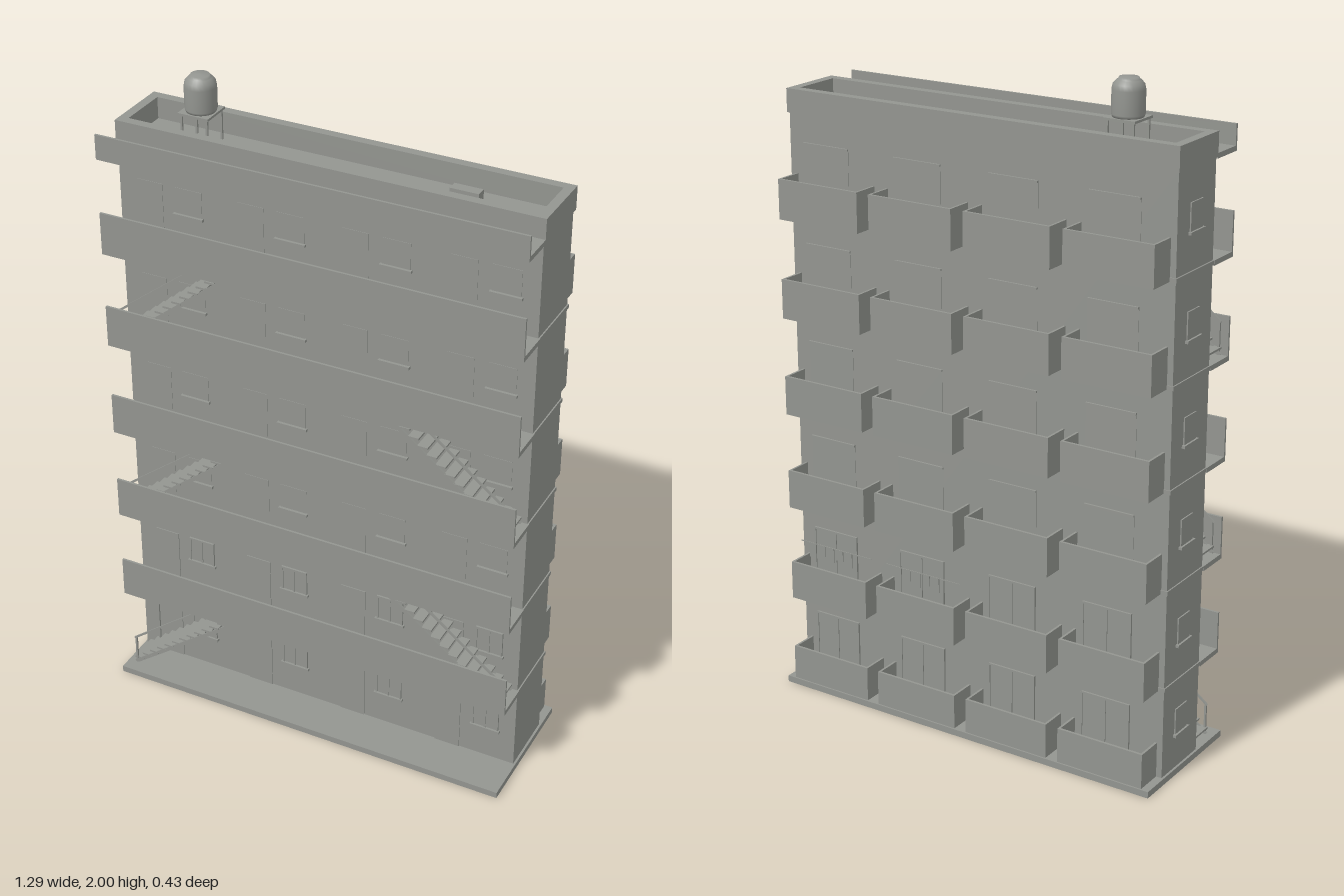
import * as THREE from 'three';

export function createModel() {
  const model = new THREE.Group();
  model.name = 'apartmentBlock';
  const concrete = new THREE.MeshStandardMaterial({ color: 0x939590 });
  concrete.name = 'concrete grey';

  const group = (name, parent = model) => {
    const g = new THREE.Group();
    g.name = name;
    parent.add(g);
    return g;
  };
  const add = (name, geometry, parent) => {
    const m = new THREE.Mesh(geometry, concrete);
    m.name = name;
    parent.add(m);
    return m;
  };
  // Box given by its two extreme corners
  const box = (name, x0, x1, y0, y1, z0, z1, parent = model) => {
    const m = add(name, new THREE.BoxGeometry(x1 - x0, y1 - y0, z1 - z0), parent);
    m.position.set((x0 + x1) / 2, (y0 + y1) / 2, (z0 + z1) / 2);
    return m;
  };
  // Slanted bar between two points in an xy plane
  const bar = (name, x0, y0, x1, y1, z, height, depth, parent) => {
    const m = add(name, new THREE.BoxGeometry(Math.hypot(x1 - x0, y1 - y0), height, depth), parent);
    m.position.set((x0 + x1) / 2, (y0 + y1) / 2, z);
    m.rotation.z = Math.atan2(y1 - y0, x1 - x0);
  };
  // Flat rectangular ring lying in the xz plane
  const ring = (name, X, z0, z1, wall, y0, y1) => {
    const s = new THREE.Shape();
    s.moveTo(-X, -z0).lineTo(-X, -z1).lineTo(X, -z1).lineTo(X, -z0).closePath();
    const h = new THREE.Path();
    h.moveTo(-X + wall, -z0 - wall).lineTo(X - wall, -z0 - wall)
      .lineTo(X - wall, -z1 + wall).lineTo(-X + wall, -z1 + wall).closePath();
    s.holes.push(h);
    const m = add(name, new THREE.ExtrudeGeometry(s, { depth: y1 - y0, bevelEnabled: false }), model);
    m.rotation.x = -Math.PI / 2;
    m.position.y = y0;
  };

  const FRONT = 0.075, BACK = -0.127, W = 0.638;
  const floorY = i => (i === 0 ? 0.02 : 0.005 + 0.3 * i);

  // Plinth with a recessed underside, main body and roof parapet
  ring('plinthRim', 0.645, -0.217, 0.215, 0.02, 0, 0.02);
  box('plinthSlab', -0.63, 0.63, 0.01, 0.02, -0.2, 0.2);
  for (const z of [FRONT, BACK]) box('foundationBeam', -0.63, 0.63, 0.003, 0.011, z - 0.006, z + 0.006);
  box('body', -W, W, 0.02, 1.795, BACK, FRONT);
  ring('roofParapet', 0.643, -0.133, 0.077, 0.028, 1.79, 1.86);

  for (let i = 0; i < 6; i++) {
    const y = floorY(i);
    const storey = group('storey' + (i + 1));
    if (i > 0) box('floorBand', -0.642, 0.642, y - 0.012, y, BACK - 0.003, FRONT + 0.003, storey);

    // Access gallery along the front
    if (i > 0) {
      box('gallerySlab', -0.643, 0.643, y - 0.015, y, FRONT, 0.182, storey);
      box('galleryParapet', -0.643, 0.643, y - 0.015, y + 0.115, 0.175, 0.182, storey);
    }

    // Four flats: front door and window, back door and balcony
    for (let k = 0; k < 4; k++) {
      const cx = -0.48 + 0.32 * k;
      const flat = group('flat' + (k + 1), storey);
      const thin = i < 2 ? 0.003 : 0.0015;
      box('frontDoor', cx - 0.1, cx - 0.02, y, y + 0.19, FRONT, FRONT + thin, flat);
      box('windowPane', cx + 0.02, cx + 0.105, y + 0.11, y + 0.19, FRONT, FRONT + thin, flat);
      box('windowSill', cx + 0.015, cx + 0.11, y + 0.103, y + 0.111, FRONT, FRONT + 0.01, flat);
      if (i < 2) {
        for (const x of [0.02, 0.06, 0.1])
          box('windowFrame', cx + x, cx + x + 0.005, y + 0.11, y + 0.19, FRONT, FRONT + 0.006, flat);
        box('windowHead', cx + 0.02, cx + 0.105, y + 0.187, y + 0.193, FRONT, FRONT + 0.006, flat);
      }

      const bx = cx + 0.03;
      box('balconyDoor', bx - 0.08, bx + 0.08, y, y + 0.2, BACK - thin, BACK, flat);
      if (i < 2) for (const x of [-0.08, -0.002, 0.076])
        box('balconyDoorFrame', bx + x, bx + x + 0.005, y, y + 0.2, BACK - 0.006, BACK, flat);
      box('balconyLintel', bx - 0.08, bx + 0.08, y + 0.197, y + 0.203, BACK - 0.006, BACK, flat);

      const l = cx - 0.14, r = cx + 0.14, y0 = i === 0 ? y : y - 0.012, top = y + 0.108;
      box('balconySlab', l, r, y0, y + 0.003, -0.21, BACK, flat);
      box('balconyFront', l, r, y0, top, -0.212, -0.204, flat);
      box('balconySide', l, l + 0.007, y0, top, -0.206, BACK, flat);
      box('balconySide', r - 0.007, r, y0, top, -0.206, BACK, flat);

      // Washing lines on two balconies, storage boxes on the top ones
      if (i === 1 && k >= 2) {
        box('washingLine', l + 0.007, r - 0.007, y + 0.165, y + 0.168, -0.171, -0.169, flat);
        for (let n = 0; n < 5; n++)
          box('laundry', cx - 0.06 + n * 0.034, cx - 0.035 + n * 0.034,
            y + 0.12 + 0.012 * (n % 2), y + 0.167, -0.1715, -0.1685, flat);
      }
      if (i === 5 && (k === 1 || k === 2))
        box('storageBox', cx - 0.12, cx - 0.035, y, y + 0.05, -0.175, -0.145, flat);
    }

    // End window on the stairwell side
    box('endWindow', -W - 0.004, -W, y + 0.11, y + 0.19, -0.06, 0.005, storey);
    box('endSill', -W - 0.01, -W, y + 0.103, y + 0.111, -0.067, 0.012, storey);

    // Open-tread stair, alternating from end to end
    if (i < 5) {
      const stair = group('stair' + (i + 1), storey);
      const side = i % 2 === 0 ? -1 : 1;
      const rise = floorY(i + 1) - y, steps = 13;
      for (let n = 1; n <= steps; n++) {
        const x = side * (0.62 - 0.36 * (n - 0.5) / steps), t = y + rise * n / steps;
        box('tread', x - 0.016, x + 0.016, t - 0.006, t, 0.08, 0.174, stair);
      }
      for (const z of [0.083, 0.171])
        bar('stringer', side * 0.62, y, side * 0.26, y + rise - 0.012, z, 0.012, 0.005, stair);
      bar('handrail', side * 0.62, y + 0.095, side * 0.24, y + 0.39, 0.172, 0.006, 0.005, stair);
      box('newelPost', side * 0.615 - 0.003, side * 0.615 + 0.003, y, y + 0.1, 0.169, 0.175, stair);
    }
  }
  // Entrance post and top canopy
  box('entrancePost', -0.588, -0.582, 0.02, 0.29, 0.078, 0.084);
  box('canopySlab', -0.643, 0.643, 1.785, 1.8, FRONT, 0.182);
  box('canopyParapet', -0.643, 0.643, 1.785, 1.86, 0.175, 0.182);

  // Roof hatch
  box('roofHatch', 0.33, 0.415, 1.795, 1.835, -0.047, -0.015);

  // Water tank on a four-legged stand
  const tank = group('waterTank');
  tank.position.set(-0.428, 0, -0.03);
  for (const x of [-0.04, 0.04]) for (const z of [-0.04, 0.04])
    box('standLeg', x - 0.003, x + 0.003, 1.795, 1.89, z - 0.003, z + 0.003, tank);
  box('standTop', -0.048, 0.048, 1.885, 1.892, -0.048, 0.048, tank);
  const profile = [[0, 1.892], [0.043, 1.892], [0.046, 1.9], [0.046, 1.965], [0.043, 1.98],
    [0.034, 1.99], [0.03, 1.992], [0.027, 1.998], [0, 2]].map(p => new THREE.Vector2(...p));
  add('tankVessel', new THREE.LatheGeometry(profile, 24), tank);

  return model;
}
